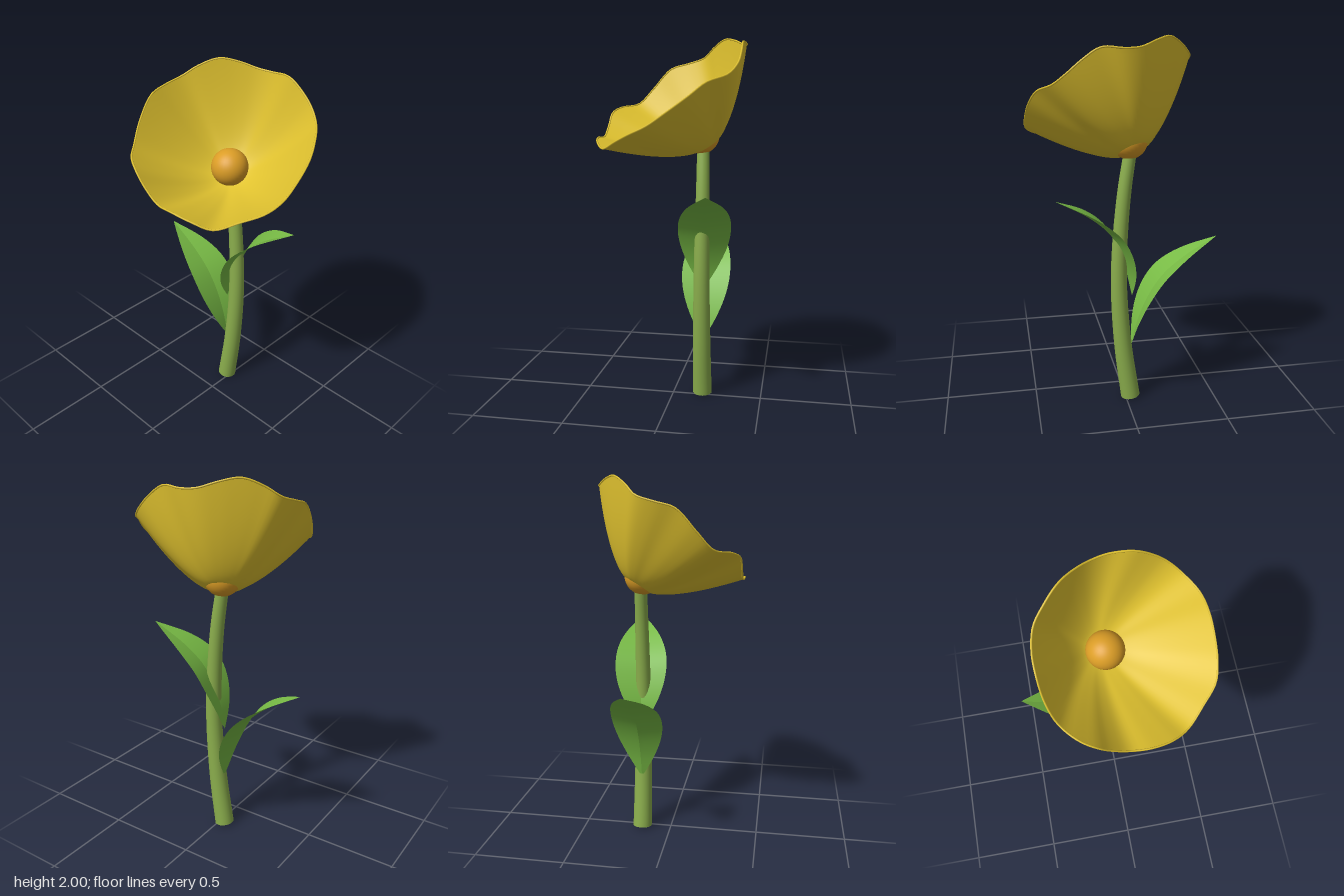
import * as THREE from 'three';

const V = (x, y, z) => new THREE.Vector3(x, y, z);
const mat = (name, color, side = THREE.FrontSide) => {
  const m = new THREE.MeshStandardMaterial({ color, side });
  m.name = name;
  return m;
};

// Grid surface from point(u, v); closed joins the last column to the first
function surface(point, nu, nv, closed = false) {
  const pos = [], index = [];
  const cols = closed ? nu : nu + 1;
  for (let j = 0; j <= nv; j++)
    for (let i = 0; i < cols; i++) pos.push(...point(i / nu, j / nv).toArray());
  for (let j = 0; j < nv; j++)
    for (let i = 0; i < nu; i++) {
      const k = (i + 1) % cols;
      const a = j * cols + i, b = j * cols + k, c = a + cols, d = b + cols;
      index.push(a, b, d, a, d, c);
    }
  const g = new THREE.BufferGeometry();
  g.setAttribute('position', new THREE.Float32BufferAttribute(pos, 3));
  g.setIndex(index);
  g.computeVertexNormals();
  return g;
}

export function createModel() {
  const model = new THREE.Group();
  model.name = 'flower';
  const yellow = mat('petal yellow', 0xe0c22f, THREE.DoubleSide);
  const orange = mat('centre orange', 0xdb9d26);
  const stemGreen = mat('stem green', 0x8aad4c, THREE.DoubleSide);
  const leafGreen = mat('leaf green', 0x78bb45, THREE.DoubleSide);
  const add = (name, geometry, material, parent = model) => {
    const m = new THREE.Mesh(geometry, material);
    m.name = name;
    parent.add(m);
    return m;
  };

  // Stem: curved, tapering tube with a flat foot
  const stemPath = new THREE.CatmullRomCurve3([
    V(-0.028, 0.01, -0.165), V(0.014, 0.32, -0.165), V(0.037, 0.65, -0.165),
    V(0.034, 0.9, -0.165), V(0.01, 1.2, -0.165), V(-0.022, 1.42, -0.162),
  ]);
  const stemPoint = (u, v) => {
    const t = stemPath.getTangentAt(v);
    const side = V(0, 0, 1).cross(t).normalize();
    const front = t.clone().cross(side);
    const a = u * Math.PI * 2, r = 0.054 - 0.02 * v;
    return stemPath.getPointAt(v).addScaledVector(side, r * Math.cos(a)).addScaledVector(front, r * Math.sin(a));
  };
  add('stem', surface(stemPoint, 24, 40, true), stemGreen);
  const foot = add('stemFoot', new THREE.CircleGeometry(0.054, 24), stemGreen);
  foot.position.copy(stemPath.getPointAt(0));
  foot.quaternion.setFromUnitVectors(V(0, 0, 1), stemPath.getTangentAt(0).negate());

  // Leaves: two halves folded along a curved midrib
  function leaf(name, points, across, halfWidth) {
    const group = new THREE.Group();
    group.name = name;
    model.add(group);
    const path = new THREE.CatmullRomCurve3(points);
    for (const s of [-1, 1]) {
      const half = (u, v) => {
        const w = halfWidth * Math.sin(Math.PI * Math.pow(v, 0.95));
        const up = path.getTangentAt(v).cross(across).normalize();
        if (up.y < 0) up.negate();
        return path.getPointAt(v).addScaledVector(across, s * u * w).addScaledVector(up, 0.16 * w * u);
      };
      add(s < 0 ? 'leafHalfBack' : 'leafHalfFront', surface(half, 5, 28), leafGreen, group);
    }
  }
  leaf('lowerLeaf', [
    V(-0.03, 0.32, -0.165), V(-0.07, 0.48, -0.165), V(-0.13, 0.62, -0.165),
    V(-0.21, 0.735, -0.165), V(-0.33, 0.835, -0.167), V(-0.505, 0.94, -0.17),
  ], V(0, 0, 1), 0.14);
  leaf('upperLeaf', [
    V(-0.035, 0.62, -0.165), V(-0.012, 0.76, -0.17), V(0.03, 0.88, -0.178),
    V(0.09, 0.985, -0.187), V(0.2, 1.085, -0.205), V(0.38, 1.19, -0.23),
  ], V(0.17, 0, 0.985), 0.145);

  // Flower centre
  add('flowerCentre', new THREE.SphereGeometry(0.1, 32, 24), orange).position.set(-0.017, 1.48, -0.15);

  // Petal cup: tilted bowl swept from a small base ring to a wavy rim
  const rim = new THREE.CatmullRomCurve3([
    [0.05, 1.95, -0.395], [0.16, 1.955, -0.385], [0.25, 1.9, -0.385], [0.32, 1.84, -0.375],
    [0.385, 1.785, -0.335], [0.455, 1.745, -0.24], [0.49, 1.68, -0.16], [0.505, 1.6, -0.05],
    [0.503, 1.54, 0.04], [0.478, 1.5, 0.13], [0.4, 1.46, 0.22], [0.31, 1.42, 0.31],
    [0.22, 1.45, 0.365], [0.11, 1.47, 0.39], [0.01, 1.47, 0.385], [-0.08, 1.53, 0.385],
    [-0.15, 1.6, 0.38], [-0.22, 1.63, 0.345], [-0.3, 1.65, 0.26], [-0.343, 1.74, 0.18],
    [-0.36, 1.85, 0.08], [-0.36, 1.88, -0.02], [-0.335, 1.91, -0.12], [-0.28, 1.96, -0.18],
    [-0.2, 2.0, -0.255], [-0.12, 1.985, -0.32], [-0.03, 1.955, -0.375],
  ].map((p) => V(...p)), true);
  const axis = V(0.27, 0.825, 0.495).normalize();
  const base = V(-0.034, 1.43, -0.18);
  const cupPoint = (u, v) => {
    const out = rim.getPointAt(u).sub(base);
    const height = out.dot(axis);
    out.addScaledVector(axis, -height);
    const reach = out.length();
    return base.clone()
      .addScaledVector(out.normalize(), 0.07 + (reach - 0.07) * v)
      .addScaledVector(axis, height * Math.pow(v, 1.4));
  };
  add('petalCup', surface(cupPoint, 108, 20, true), yellow);

  // Rounded lip along the rim
  add('petalLip', new THREE.TubeGeometry(rim, 108, 0.005, 6, true), yellow);
  return model;
}
